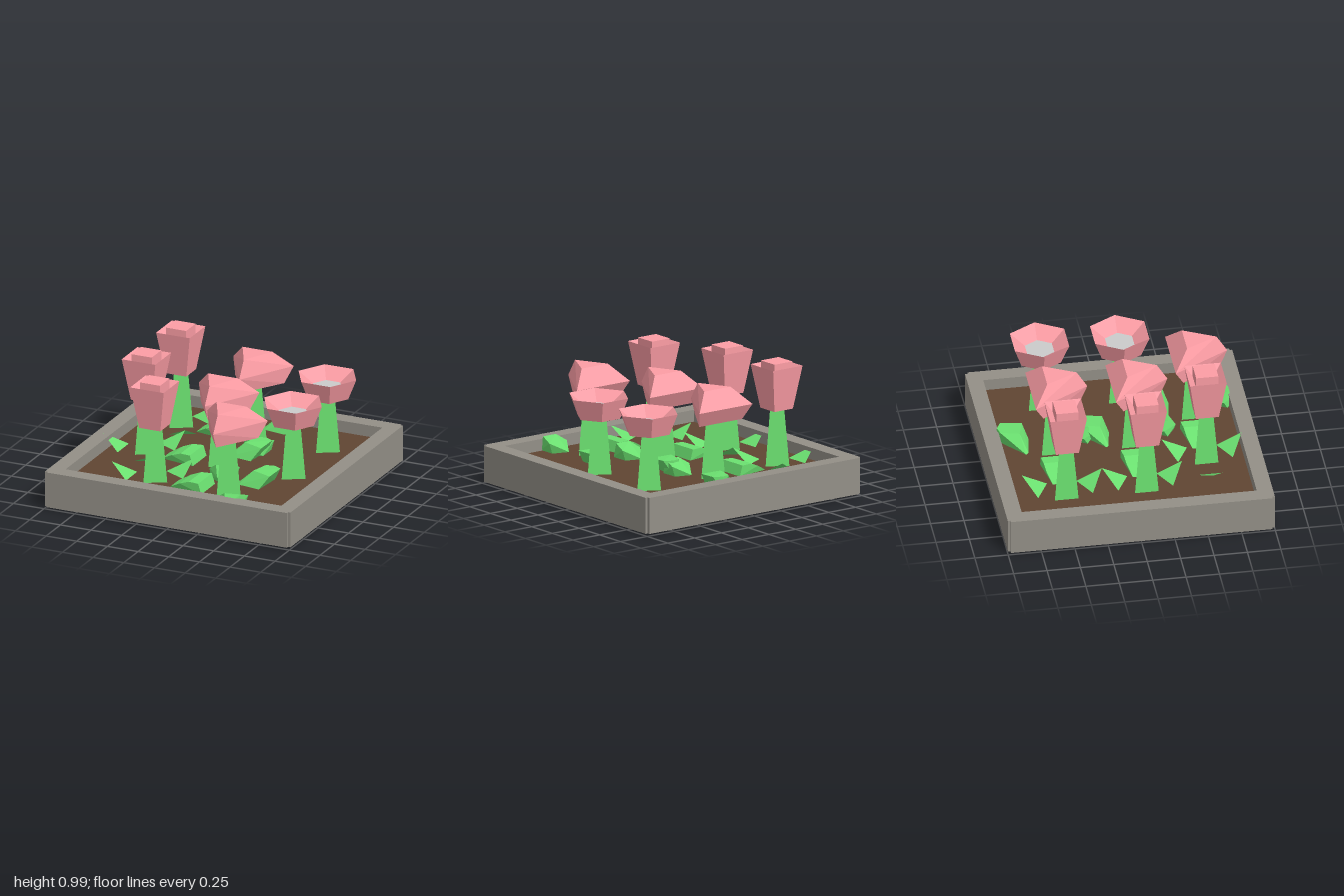
import * as THREE from 'three';
import { ConvexGeometry } from 'three/addons/geometries/ConvexGeometry.js';

const mat = (color) => new THREE.MeshStandardMaterial({ color, flatShading: true, side: THREE.DoubleSide });
const stone = mat(0x938f87), earth = mat(0x604532), green = mat(0x6be070), pink = mat(0xfc9da5), grey = mat(0xcccccc);

function add(parent, name, geometry, material) {
  const mesh = new THREE.Mesh(geometry, material);
  mesh.name = name;
  parent.add(mesh);
  return mesh;
}

// Faceted solid from a [radius, height] profile
function turned(profile, sides) {
  return new THREE.LatheGeometry(profile.map(([r, y]) => new THREE.Vector2(r, y)), sides);
}

const hull = (points) => new ConvexGeometry(points.map((p) => new THREE.Vector3(...p)));

// Thin triangular blade
function blade(points) {
  const g = new THREE.BufferGeometry();
  g.setAttribute('position', new THREE.Float32BufferAttribute(points.flat(), 3));
  g.computeVertexNormals();
  return g;
}

function plant(parent, name, x, z) {
  const g = new THREE.Group();
  g.name = name;
  g.position.set(x, 0, z);
  parent.add(g);
  // Three-sided tapering stem, one edge facing +x
  add(g, 'stem', turned([[0, 0], [0.122, 0], [0.06, 0.64], [0, 0.64]], 3), green).rotation.y = Math.PI / 2;
  return g;
}

// Square flower with an inner bud
function squareFlower(parent, x, z) {
  const g = plant(parent, 'squareFlower', x, z), d = Math.SQRT2;
  const profile = [[0, 0.63], [0.086 * d, 0.63], [0.137 * d, 0.96], [0.083 * d, 0.9], [0.083 * d, 0.99], [0, 0.99]];
  add(g, 'blossom', turned(profile, 4), pink).rotation.y = Math.PI / 4;

  add(g, 'backBlade', blade([[-0.35, 0.292, 0], [-0.18, 0.195, -0.105], [-0.18, 0.195, 0.105]]), green);
  for (const s of [-1, 1]) {
    add(g, 'sideBlade', blade([[0, 0.2, s * 0.205], [0.18, 0.2, s * 0.11], [0.177, 0.295, s * 0.3]]), green);
  }
  // Broad arched leaf: [x, y, half width]
  const ribs = [[0.16, 0.2, 0.07], [0.25, 0.25, 0.1], [0.33, 0.28, 0.11], [0.41, 0.28, 0.12], [0.435, 0.2, 0.12]];
  add(g, 'broadLeaf', hull(ribs.flatMap(([rx, y, w]) => [[rx, y, -w], [rx, y, w]])), green);
}

// Three-sided bevelled flower with two chunky leaves
function wedgeFlower(parent, x, z) {
  const g = plant(parent, 'wedgeFlower', x, z);
  // [height, half width, back z, tip z]
  const rings = [[0.63, 0.2, -0.1, 0.21], [0.75, 0.247, -0.165, 0.26], [0.88, 0.122, -0.06, 0.18]];
  add(g, 'blossom', hull(rings.flatMap(([y, w, b, t]) => [[-w, y, b], [w, y, b], [0, y, t]])), pink);

  add(g, 'rearLeaf', hull([
    [-0.02, 0.2, -0.2], [0, 0.2, -0.18], [0.18, 0.2, -0.15], [0.2, 0.2, -0.39],
    [0.1, 0.31, -0.23], [0.25, 0.3, -0.19], [0.265, 0.31, -0.35], [0.2, 0.31, -0.385], [0.135, 0.31, -0.37],
  ]), green);
  add(g, 'frontLeaf', hull([
    [0.14, 0.22, 0.07], [0.245, 0.28, 0.17], [0.22, 0.31, 0.28], [0.1, 0.31, 0.28], [0.03, 0.26, 0.24],
    [0.05, 0.2, 0.27], [0.14, 0.24, 0.345], [0.14, 0.2, 0.33], [0.22, 0.2, 0.31], [0.22, 0.2, 0.17],
  ]), green);
}

// Hexagonal open cup with a grey centre
function cupFlower(parent, x, z) {
  const g = plant(parent, 'cupFlower', x, z);
  add(g, 'blossom', turned([[0, 0.63], [0.17, 0.63], [0.235, 0.79], [0.117, 0.71]], 6), pink).rotation.y = Math.PI / 2;
  const centre = add(g, 'flowerCentre', new THREE.CircleGeometry(0.117, 6), grey);
  centre.rotation.x = -Math.PI / 2;
  centre.position.y = 0.71;
}

export function createModel() {
  const model = new THREE.Group();
  model.name = 'flowerBed';

  // Frame with small notched corners
  const a = 1, b = 0.98, c = 0.88;
  const outline = new THREE.Shape([
    [a, -b], [a, b], [b, b], [b, a], [-b, a], [-b, b], [-a, b], [-a, -b], [-b, -b], [-b, -a], [b, -a], [b, -b],
  ].map(([x, y]) => new THREE.Vector2(x, y)));
  outline.holes.push(new THREE.Path([[-c, -c], [-c, c], [c, c], [c, -c]].map(([x, y]) => new THREE.Vector2(x, y))));
  const frame = add(model, 'frame', new THREE.ExtrudeGeometry(outline, { depth: 0.275, bevelEnabled: false }), stone);
  frame.rotation.x = -Math.PI / 2;
  frame.position.y = 0.015;

  add(model, 'soil', new THREE.BoxGeometry(2 * c, 0.18, 2 * c), earth).position.y = 0.11;

  // Rows of plants, the front row shifted sideways
  for (const [shift, z] of [[0, -0.503], [0, 0.097], [0.3, 0.593]]) {
    squareFlower(model, -0.588 + shift, z);
    wedgeFlower(model, 0.01 + shift, z);
    if (shift === 0) cupFlower(model, 0.608, z);
  }
  return model;
}
